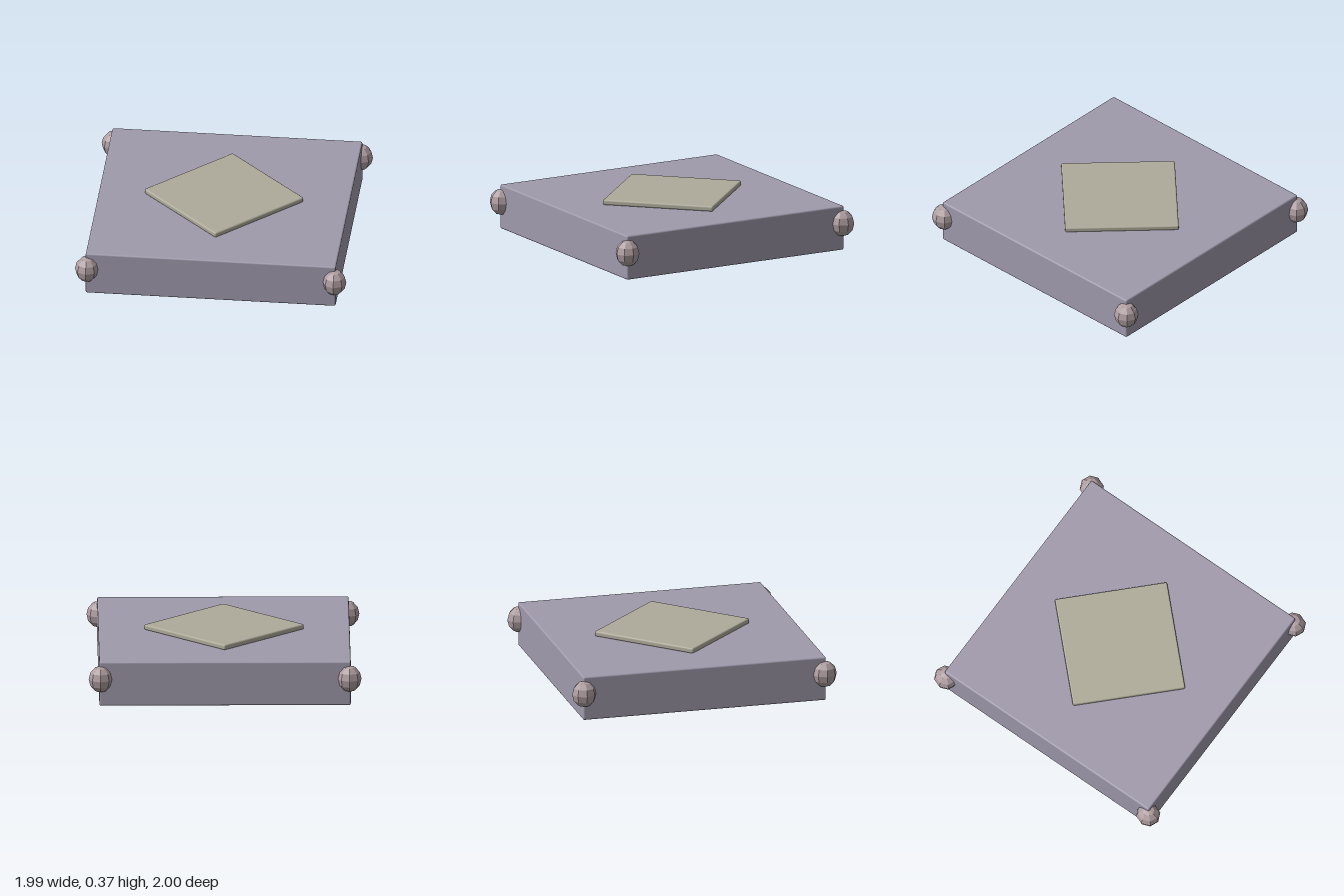
import * as THREE from 'three';
import { RoundedBoxGeometry } from 'three/addons/geometries/RoundedBoxGeometry.js';

export function createModel() {
  const model = new THREE.Group();
  const add = (name, geometry, color, x, y, z, flatShading = false) => {
    const mesh = new THREE.Mesh(geometry, new THREE.MeshStandardMaterial({ color, flatShading }));
    mesh.name = name;
    mesh.position.set(x, y, z);
    model.add(mesh);
    return mesh;
  };

  // Square slab with softened edges
  add('slab', new RoundedBoxGeometry(1.836, 0.33, 1.836, 2, 0.012), 0xa09aac, 0, 0.165, 0);

  // Thin plate turned to a diamond on top
  const plate = add('diamondPlate', new RoundedBoxGeometry(0.83, 0.04, 0.83, 2, 0.012), 0xaeab9a, 0, 0.348, 0);
  plate.rotation.y = Math.PI / 4;

  // Faceted knobs at the four corners
  const knob = new THREE.SphereGeometry(1, 8, 6).scale(0.087, 0.098, 0.091);
  for (const x of [-1, 1]) {
    for (const z of [-1, 1]) {
      const name = (z > 0 ? 'front' : 'back') + (x > 0 ? 'Left' : 'Right') + 'Knob';
      add(name, knob, 0xb09fa2, x * 0.909, 0.2, z * 0.909, true);
    }
  }
  return model;
}
